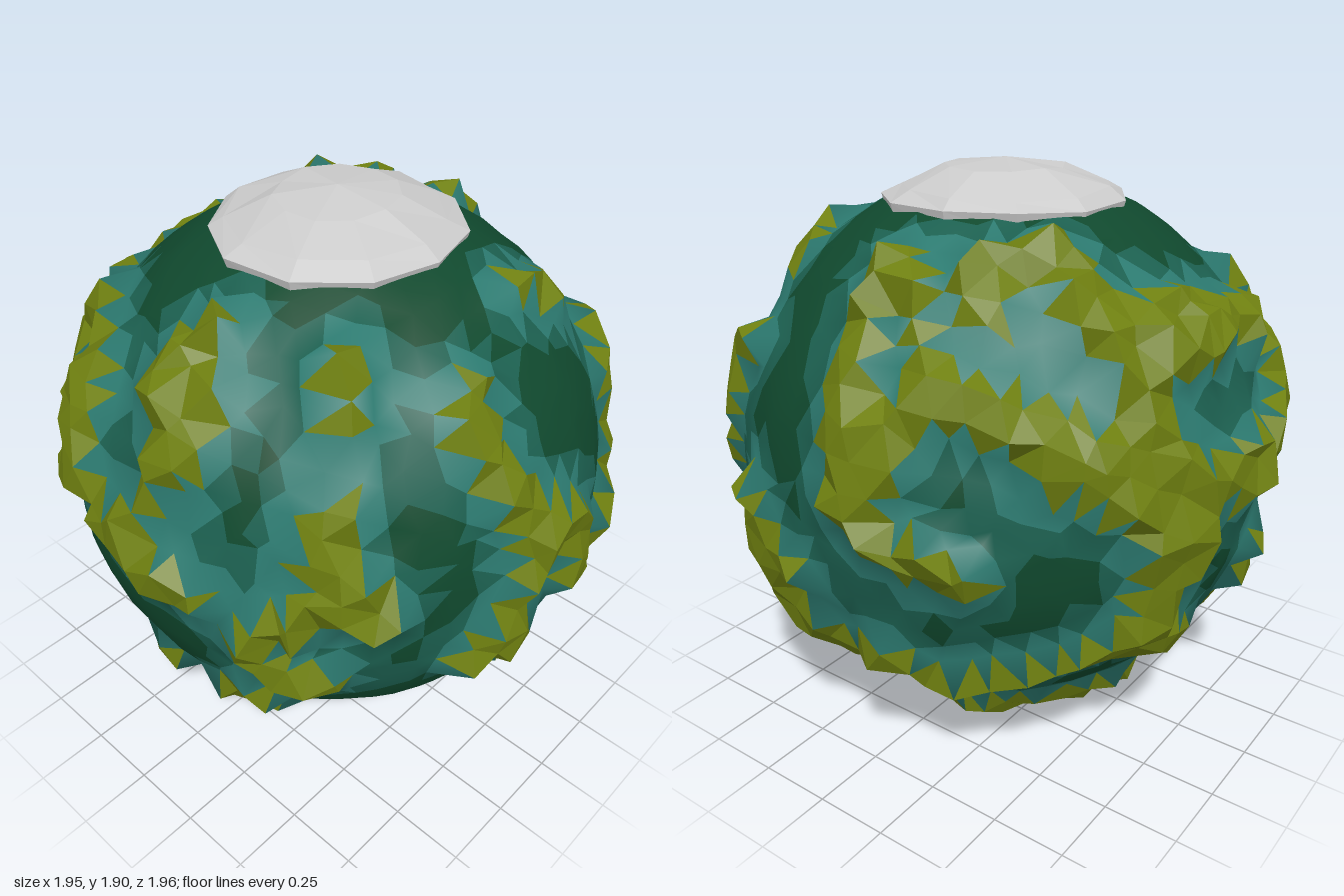
import * as THREE from 'three';
import { mergeVertices } from 'three/addons/utils/BufferGeometryUtils.js';

const OCEAN = 0.905, LAND_WIDTH = 0.075, CENTRE_HEIGHT = 0.965;

// Repeatable noise in 0..1
const hash = (n) => {
  const s = Math.sin(n * 127.1 + 11.7) * 43758.5453;
  return s - Math.floor(s);
};

// Coast strokes, drawn on the globe as seen from an azimuth and elevation in degrees
function paint(segments, azimuth, elevation, strokes) {
  const a = THREE.MathUtils.degToRad(azimuth), e = THREE.MathUtils.degToRad(elevation);
  const right = new THREE.Vector3(Math.cos(a), 0, -Math.sin(a));
  const toEye = new THREE.Vector3(Math.sin(a) * Math.cos(e), Math.sin(e), Math.cos(a) * Math.cos(e));
  const up = new THREE.Vector3().crossVectors(toEye, right);
  const onGlobe = ([u, v]) => new THREE.Vector3()
    .addScaledVector(right, u)
    .addScaledVector(up, v)
    .addScaledVector(toEye, Math.sqrt(Math.max(0, 0.88 - u * u - v * v)))
    .normalize();
  for (const stroke of strokes) {
    // A lone point becomes a very short stroke
    if (stroke.length === 1) stroke.push([stroke[0][0] + 0.02, stroke[0][1]]);
    const pts = stroke.map(onGlobe);
    for (let i = 1; i < pts.length; i++) segments.push(new THREE.Line3(pts[i - 1], pts[i]));
  }
}

function paintContinents() {
  const segments = [];
  // Front
  paint(segments, 0, 0, [
    [[-.2, .6], [-.22, .42], [-.12, .24], [.05, .14], [.2, 0], [.12, -.16], [.3, -.27], [.45, -.18],
      [.55, -.1], [.65, .14], [.6, .28], [.68, .42]],
    [[-.12, .24], [-.15, 0], [-.2, -.18], [-.3, -.25], [-.15, -.22]],
    [[.22, .72], [.35, .68], [.45, .6]],
    [[.05, -.73], [.15, -.62], [.25, -.66]],
    [[-.62, .42], [-.72, .22], [-.6, .05], [-.75, .05], [-.85, -.08], [-.75, -.25], [-.66, -.3]],
    [[-.75, -.42], [-.7, -.58], [-.6, -.68]],
    [[.72, -.5], [.82, -.36], [.86, -.2]],
    [[-.25, -.86], [-.1, -.9], [.1, -.88], [.3, -.84]],
  ]);
  // Side towards +x
  paint(segments, 90, 0, [
    [[-.4, 0], [-.3, -.16], [-.14, -.24]],
    [[-.33, -.3], [-.3, -.43], [-.12, -.45], [.02, -.5], [.1, -.45]],
    [[.2, -.53], [.34, -.52], [.46, -.5]],
    [[.07, .72], [.2, .62], [.3, .45], [.48, .42], [.62, .36]],
    [[.3, .42], [.18, .2], [.06, .1], [.2, 0], [.35, -.08], [.42, -.1]],
    [[.5, .7], [.64, .6], [.72, .45]],
    [[.62, .2], [.72, .2], [.82, .1], [.85, -.1], [.82, -.26], [.75, -.36], [.8, -.45]],
    [[-.73, -.56], [-.55, -.66], [-.46, -.72]],
    [[.1, -.82], [.4, -.8], [.56, -.75]],
    [[-.3, -.88], [-.15, -.9]],
  ]);
  // Back towards +x, southern half
  paint(segments, 135, -30, [
    [[-.4, .85], [-.58, .56], [-.5, .37]],
    [[-.22, .76], [.1, .65], [.36, .58], [.46, .33], [.33, .17], [.05, .03], [-.26, -.1]],
    [[.5, .5], [.8, .34]],
    [[.15, .87], [.45, .76], [.7, .62]],
    [[-.87, .05], [-.8, -.16], [-.62, -.25]],
    [[-.15, -.59], [.1, -.62], [.33, -.48], [.5, -.59], [.58, -.73]],
    [[.83, -.28]],
    [[-.57, -.7]],
    [[-.12, -.9]],
  ]);
  // Back towards -x, northern half
  paint(segments, 225, 30, [
    [[-.64, .37], [-.42, .14], [-.25, -.08], [-.36, -.34], [-.64, -.31], [-.81, -.08], [-.85, .14], [-.64, .37]],
    [[-.22, -.3], [-.13, -.08], [0, .14], [.23, .06], [.34, -.03], [.29, -.34]],
    [[.36, -.22], [.65, -.25], [.85, -.22]],
    [[.65, -.25], [.68, .14], [.62, .34]],
    [[-.7, .6], [-.55, .72]],
    [[.62, .62], [.75, .48]],
    [[-.47, -.6], [-.3, -.84], [.1, -.9]],
    [[.45, -.78]],
  ]);
  // Northern islands
  paint(segments, 0, 90, [
    [[-.76, .02], [-.58, -.06]],
    [[.35, .42]],
    [[-.75, .45], [-.6, .65], [-.44, .75], [-.28, .88]],
  ]);
  return segments;
}

function createGlobe() {
  const segments = paintContinents();
  let geo = new THREE.IcosahedronGeometry(1, 11);
  geo.deleteAttribute('normal');
  geo.deleteAttribute('uv');
  geo = mergeVertices(geo, 1e-4);
  const pos = geo.attributes.position;
  const p = new THREE.Vector3(), near = new THREE.Vector3();
  const coast = [];

  // Jitter the vertices, then lift those close to a coast stroke
  for (let i = 0; i < pos.count; i++) {
    p.fromBufferAttribute(pos, i);
    p.x += (hash(i) - 0.5) * 0.055;
    p.y += (hash(i + 3000) - 0.5) * 0.055;
    p.z += (hash(i + 6000) - 0.5) * 0.055;
    p.normalize();
    let d = Infinity;
    for (const s of segments) {
      s.closestPointToPoint(p, true, near);
      d = Math.min(d, near.normalize().distanceTo(p));
    }
    d += (hash(i + 9000) - 0.5) * 0.035;
    coast.push(d);
    const r = d < LAND_WIDTH ? 0.935 + 0.06 * hash(i + 500) : OCEAN + 0.008 * (hash(i + 800) - 0.5);
    p.multiplyScalar(r);
    pos.setXYZ(i, p.x, p.y, p.z);
  }
  geo.computeVertexNormals();

  // Sort the faces into land and three depths of water
  const parts = [
    { name: 'land', color: 0x6f8010, flatShading: true, faces: [] },
    { name: 'shallowWater', color: 0x2c7a70, faces: [] },
    { name: 'middleWater', color: 0x1c6050, faces: [] },
    { name: 'deepWater', color: 0x10492e, faces: [] },
  ];
  const index = geo.index.array;
  for (let f = 0; f < index.length; f += 3) {
    const tri = [index[f], index[f + 1], index[f + 2]];
    const d = tri.map((i) => coast[i]);
    const mean = (d[0] + d[1] + d[2]) / 3;
    const isLand = d.filter((v) => v < LAND_WIDTH).length >= 2;
    const band = isLand ? 0 : mean < 0.15 ? 1 : mean < 0.21 ? 2 : 3;
    parts[band].faces.push(...tri);
  }

  const globe = new THREE.Group();
  globe.name = 'globe';
  for (const { name, color, flatShading = false, faces } of parts) {
    const g = new THREE.BufferGeometry();
    g.setAttribute('position', pos);
    g.setAttribute('normal', geo.attributes.normal);
    g.setIndex(faces);
    const mesh = new THREE.Mesh(g, new THREE.MeshStandardMaterial({ color, flatShading }));
    mesh.name = name;
    globe.add(mesh);
  }
  return globe;
}

// Faceted polar cap with an uneven rim
function createIceCap() {
  const profile = [[0.39, 0.76], [0.41, 0.835], [0.35, 0.87], [0.2, 0.925], [0, 0.95]]
    .map(([x, y]) => new THREE.Vector2(x, y));
  const sides = 11;
  const geo = new THREE.LatheGeometry(profile, sides);
  const pos = geo.attributes.position;
  for (let i = 0; i < pos.count; i++) {
    const ring = i % profile.length, side = Math.floor(i / profile.length) % sides;
    if (ring === profile.length - 1) continue;
    const k = 0.96 + 0.08 * hash(side + 40 + (ring > 1 ? ring * 20 : 0));
    pos.setXYZ(i, pos.getX(i) * k, pos.getY(i) + 0.02 * (hash(side + ring * 30) - 0.5), pos.getZ(i) * k);
  }
  const cap = new THREE.Mesh(geo, new THREE.MeshStandardMaterial({ color: 0xcccccc, flatShading: true }));
  cap.name = 'iceCap';
  return cap;
}

export function createModel() {
  const planet = new THREE.Group();
  planet.name = 'planet';
  planet.add(createGlobe(), createIceCap());
  planet.position.y = CENTRE_HEIGHT;
  const model = new THREE.Group();
  model.add(planet);
  return model;
}
